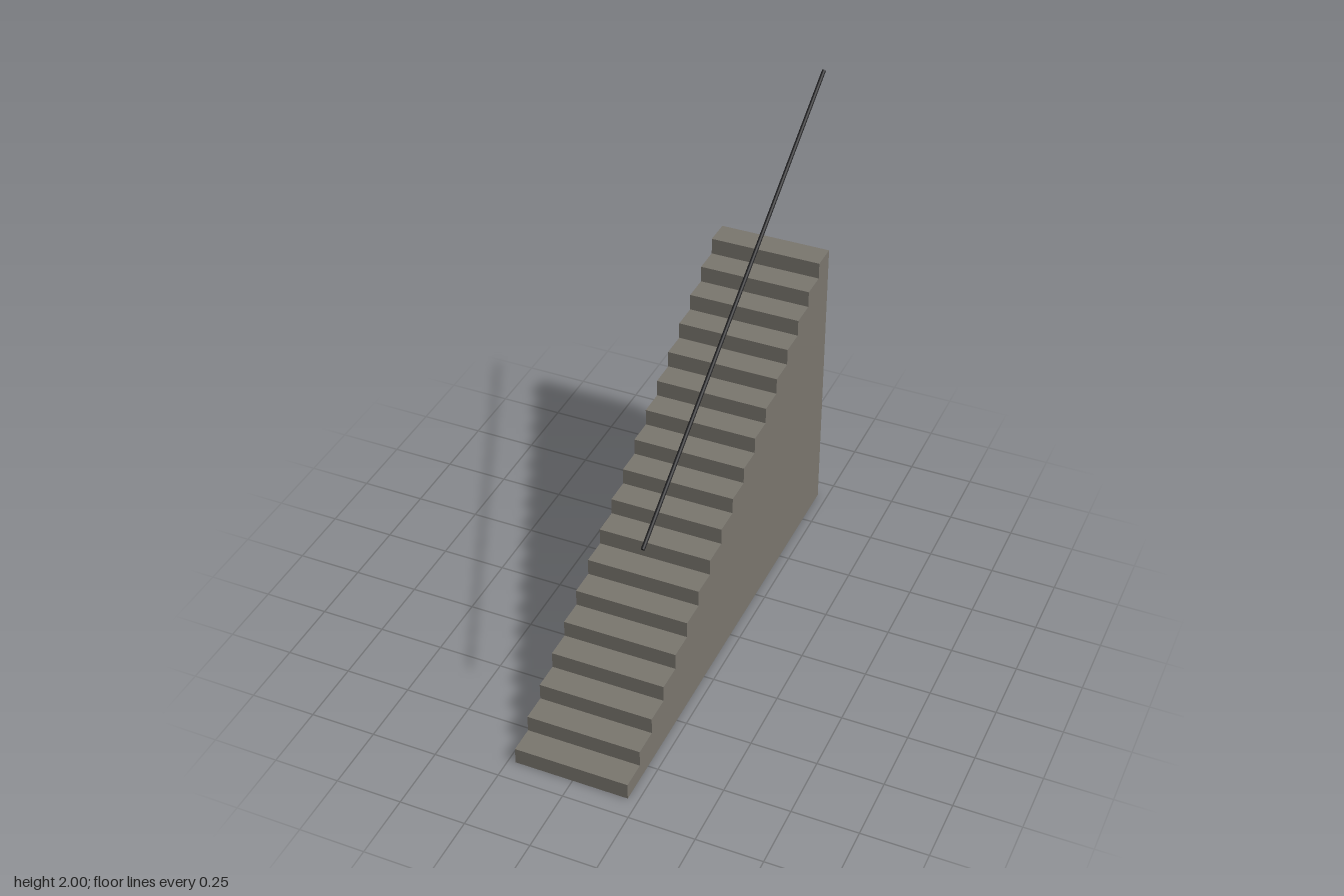
import * as THREE from 'three';

const STEPS = 18, RISE = 1.17 / STEPS, RUN = 1.84 / STEPS;
const LEFT = 0.212, RIGHT = -0.222;

export function createModel() {
  const group = new THREE.Group();
  const stone = new THREE.MeshStandardMaterial({ color: 0x7b776f });
  stone.name = 'warm grey stone';
  const iron = new THREE.MeshStandardMaterial({ color: 0x222224 });
  iron.name = 'dark iron';

  // Solid stair block: stepped side profile extruded across the width
  const profile = new THREE.Shape();
  profile.moveTo(-0.92, 0);
  for (let i = 0; i < STEPS; i++) {
    const s = -0.92 + i * RUN, y = (i + 1) * RISE;
    profile.lineTo(s, y);
    profile.lineTo(s + RUN, y);
  }
  profile.lineTo(0.92, 0);
  const stairGeometry = new THREE.ExtrudeGeometry(profile, {
    depth: LEFT - RIGHT, bevelEnabled: false,
  });
  stairGeometry.rotateY(Math.PI / 2);
  stairGeometry.translate(RIGHT, 0, 0);
  const stairs = new THREE.Mesh(stairGeometry, stone);
  stairs.name = 'stairs';
  group.add(stairs);

  // Straight round handrail, parallel to the flight on its left side
  const low = new THREE.Vector3(0.213, 1.007, 0.775);
  const high = new THREE.Vector3(0.213, 1.994, -0.775);
  const along = high.clone().sub(low);
  const rail = new THREE.Mesh(
    new THREE.CylinderGeometry(0.007, 0.007, along.length(), 16), iron);
  rail.name = 'handrail';
  rail.position.copy(low).add(high).multiplyScalar(0.5);
  rail.quaternion.setFromUnitVectors(new THREE.Vector3(0, 1, 0), along.normalize());
  group.add(rail);

  return group;
}
